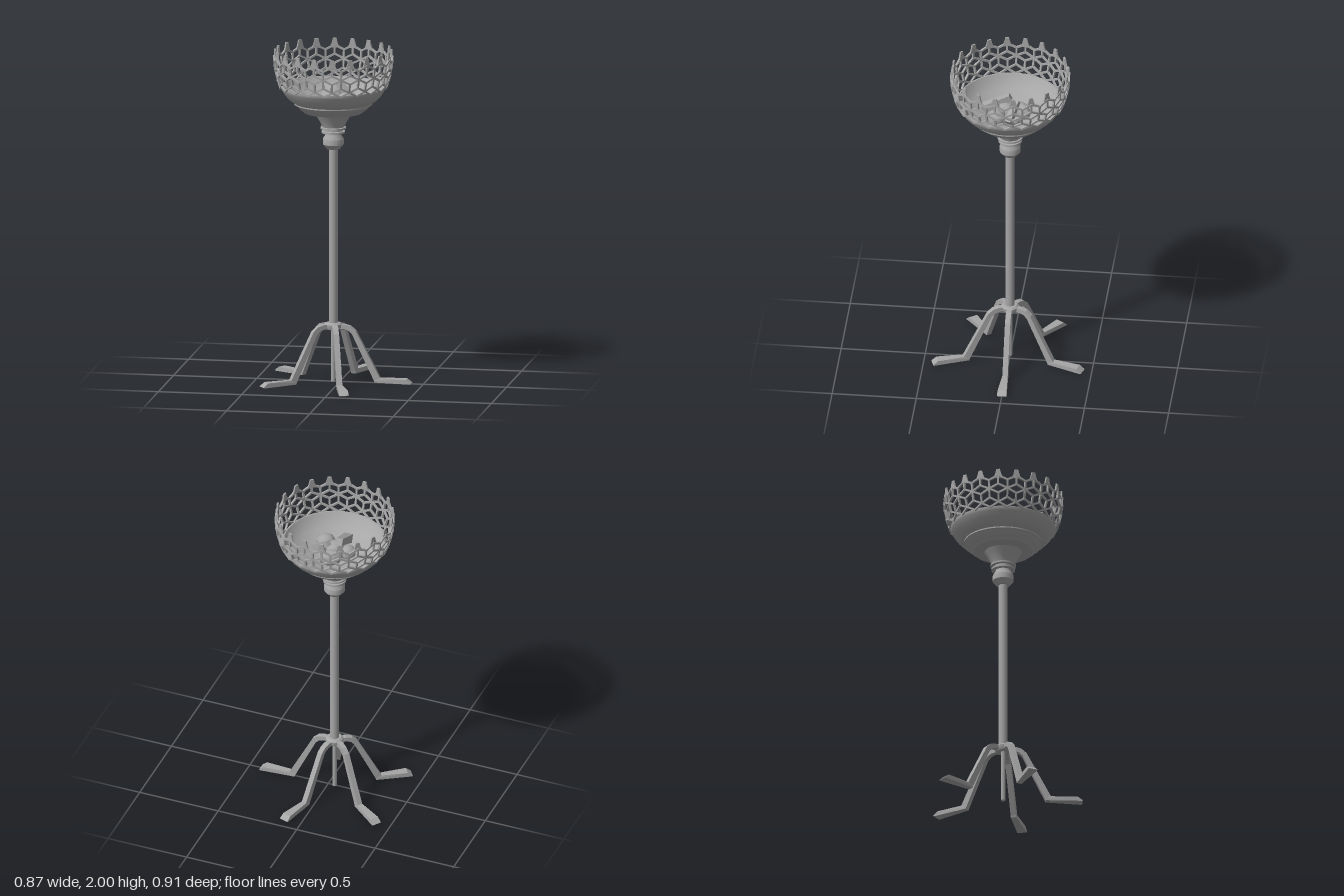
import * as THREE from 'three';
import { mergeGeometries, toCreasedNormals } from 'three/addons/utils/BufferGeometryUtils.js';

const iron = new THREE.MeshStandardMaterial({ color: 0xa6a6a6 });
iron.name = 'grey iron';

const V = (x, y, z) => new THREE.Vector3(x, y, z);

function part(name, geometry, parent) {
  const mesh = new THREE.Mesh(geometry, iron);
  mesh.name = name;
  parent.add(mesh);
  return mesh;
}

function turned(points, segments) {
  const profile = points.map(([r, y]) => new THREE.Vector2(r, y));
  return toCreasedNormals(new THREE.LatheGeometry(profile, segments), 0.55);
}

// Radius of the openwork wall at a height
const wallRadius = (y) => 0.35 - 1.15 * (1.95 - y) ** 2;
const onWall = (a, y) => V(Math.sin(a) * wallRadius(y), y, Math.cos(a) * wallRadius(y));

// Rectangular strut between two points on the wall
function strut(a, b, width, depth) {
  const along = b.clone().sub(a);
  const length = along.length();
  along.normalize();
  const mid = a.clone().add(b).multiplyScalar(0.5);
  const side = along.clone().cross(V(mid.x, 0, mid.z).normalize()).normalize();
  const out = side.clone().cross(along);
  const frame = new THREE.Matrix4().makeBasis(side, along, out).setPosition(mid);
  return new THREE.BoxGeometry(width, length + width * 0.5, depth).applyMatrix4(frame);
}

// Rhombus lattice: two staggered rows of hexagons, each split in three
function latticeGeometry() {
  const bars = [];
  const n = 20, half = Math.PI / n, s = 0.053;
  const bar = (a1, y1, a2, y2) => bars.push(strut(onWall(a1, y1), onWall(a2, y2), 0.011, 0.012));
  for (let row = 0; row < 2; row++) {
    const c = 1.8245 + row * 1.5 * s;
    for (let k = 0; k < n; k++) {
      const t = (2 * k + row) * half;
      bar(t, c + s, t - half, c + s / 2);
      bar(t, c + s, t + half, c + s / 2);
      bar(t - half, c + s / 2, t - half, c - s / 2);
      bar(t, c, t, c + s);
      bar(t, c, t - half, c - s / 2);
      bar(t, c, t + half, c - s / 2);
      if (row === 0) {
        bar(t, c - s, t - half, c - s / 2);
        bar(t, c - s, t + half, c - s / 2);
      }
    }
  }
  return mergeGeometries(bars);
}

// Tapered crown points with hollow flanks
function crownGeometry() {
  const shape = new THREE.Shape();
  shape.moveTo(-0.036, 1.938);
  shape.lineTo(0, 1.945);
  shape.lineTo(0.036, 1.938);
  shape.quadraticCurveTo(0.02, 1.95, 0.011, 2);
  shape.lineTo(-0.011, 2);
  shape.quadraticCurveTo(-0.02, 1.95, -0.036, 1.938);
  const spike = new THREE.ExtrudeGeometry(shape, { depth: 0.01, bevelEnabled: false, curveSegments: 4 });
  const spikes = [];
  for (let k = 0; k < 20; k++) {
    spikes.push(spike.clone().translate(0, 0, 0.34).rotateY((k + 0.5) * Math.PI / 10));
  }
  return mergeGeometries(spikes);
}

// Bent strap leg, flaring toward the toe
function legGeometry() {
  const outline = [
    [0.03, 0.345], [0.07, 0.345], [0.105, 0.336], [0.137, 0.308], [0.282, 0.03], [0.44, 0.028],
    [0.47, 0.004], [0.465, 0], [0.25, 0.003], [0.246, 0.015], [0.115, 0.288], [0.095, 0.308],
    [0.07, 0.318], [0.03, 0.318],
  ].map(([x, y]) => new THREE.Vector2(x, y));
  const geo = new THREE.ExtrudeGeometry(new THREE.Shape(outline), { depth: 2, bevelEnabled: false });
  geo.translate(0, 0, -1);
  const p = geo.attributes.position;
  for (let i = 0; i < p.count; i++) {
    const flare = Math.max(0, (p.getX(i) - 0.29) / 0.18);
    p.setZ(i, p.getZ(i) * (0.016 + 0.013 * flare));
  }
  geo.computeVertexNormals();
  return geo;
}

export function createModel() {
  const model = new THREE.Group();
  model.name = 'fireBowlStand';
  const stand = new THREE.Group();
  stand.name = 'stand';
  stand.position.x = -0.04;
  model.add(stand);

  // Five legs, hub and centre rod
  const leg = legGeometry();
  for (let i = 0; i < 5; i++) {
    part('leg' + (i + 1), leg, stand).rotation.y = i * Math.PI * 2 / 5;
  }
  part('centreRod', new THREE.CylinderGeometry(0.014, 0.014, 0.34, 12), stand).position.y = 0.17;
  part('hub', turned([[0, 0.315], [0.045, 0.315], [0.052, 0.33], [0.052, 0.345], [0.04, 0.355], [0, 0.355]], 20), stand);

  // Pole and turned neck
  part('pole', new THREE.CylinderGeometry(0.027, 0.027, 1.07, 16), stand).position.y = 0.875;
  part('neck', turned([
    [0, 1.4], [0.038, 1.4], [0.062, 1.428], [0.062, 1.462], [0.048, 1.485], [0.045, 1.497],
    [0.07, 1.497], [0.07, 1.508], [0.056, 1.51], [0.056, 1.522], [0.076, 1.522], [0.076, 1.532],
    [0.066, 1.534], [0.077, 1.56], [0.095, 1.59], [0.112, 1.618],
  ], 24), stand);

  // Stepped bowl with hollow inside
  part('bowl', turned([
    [0.1, 1.615], [0.175, 1.622], [0.19, 1.637], [0.197, 1.64], [0.225, 1.67], [0.233, 1.672],
    [0.233, 1.68], [0.262, 1.7], [0.286, 1.726], [0.304, 1.755], [0.311, 1.768], [0.311, 1.778],
    [0.302, 1.778], [0.283, 1.745], [0.25, 1.713], [0.2, 1.683], [0.14, 1.66], [0.07, 1.646], [0, 1.642],
  ], 32), stand);

  // Openwork wall and crown
  part('lattice', latticeGeometry(), stand);
  part('crownPoints', crownGeometry(), stand);

  // Coals: x, y, z, then half sizes
  const coals = [
    [-0.11, 1.695, 0.035, 0.05, 0.045, 0.055],
    [-0.035, 1.705, 0.025, 0.06, 0.055, 0.065],
    [0.045, 1.705, 0.075, 0.06, 0.05, 0.058],
    [-0.045, 1.71, -0.07, 0.072, 0.05, 0.045],
    [0.02, 1.68, -0.04, 0.03, 0.03, 0.03],
    [-0.035, 1.675, 0.1, 0.03, 0.028, 0.03],
  ];
  coals.forEach(([x, y, z, a, b, c], i) => {
    const coal = part('coal' + (i + 1), new THREE.SphereGeometry(1, 8, 6), model);
    coal.position.set(x, y, z);
    coal.scale.set(a, b, c);
    coal.rotation.y = i * 0.2;
  });

  // Split logs leaning on the coals
  const logs = [
    [V(-0.07, 1.785, 0), V(-0.06, 1.7, 0.165), 0.05],
    [V(-0.02, 1.79, -0.045), V(0.085, 1.7, 0), 0.04],
  ];
  logs.forEach(([a, b, w], i) => {
    const length = a.distanceTo(b);
    const geo = new THREE.CylinderGeometry(w * 0.55, w * 0.75, length, 4, 1).rotateY(Math.PI / 4).rotateX(Math.PI / 2).toNonIndexed();
    geo.computeVertexNormals();
    const log = part('log' + (i + 1), geo, model);
    log.position.copy(a).add(b).multiplyScalar(0.5);
    log.lookAt(a);
  });

  return model;
}
